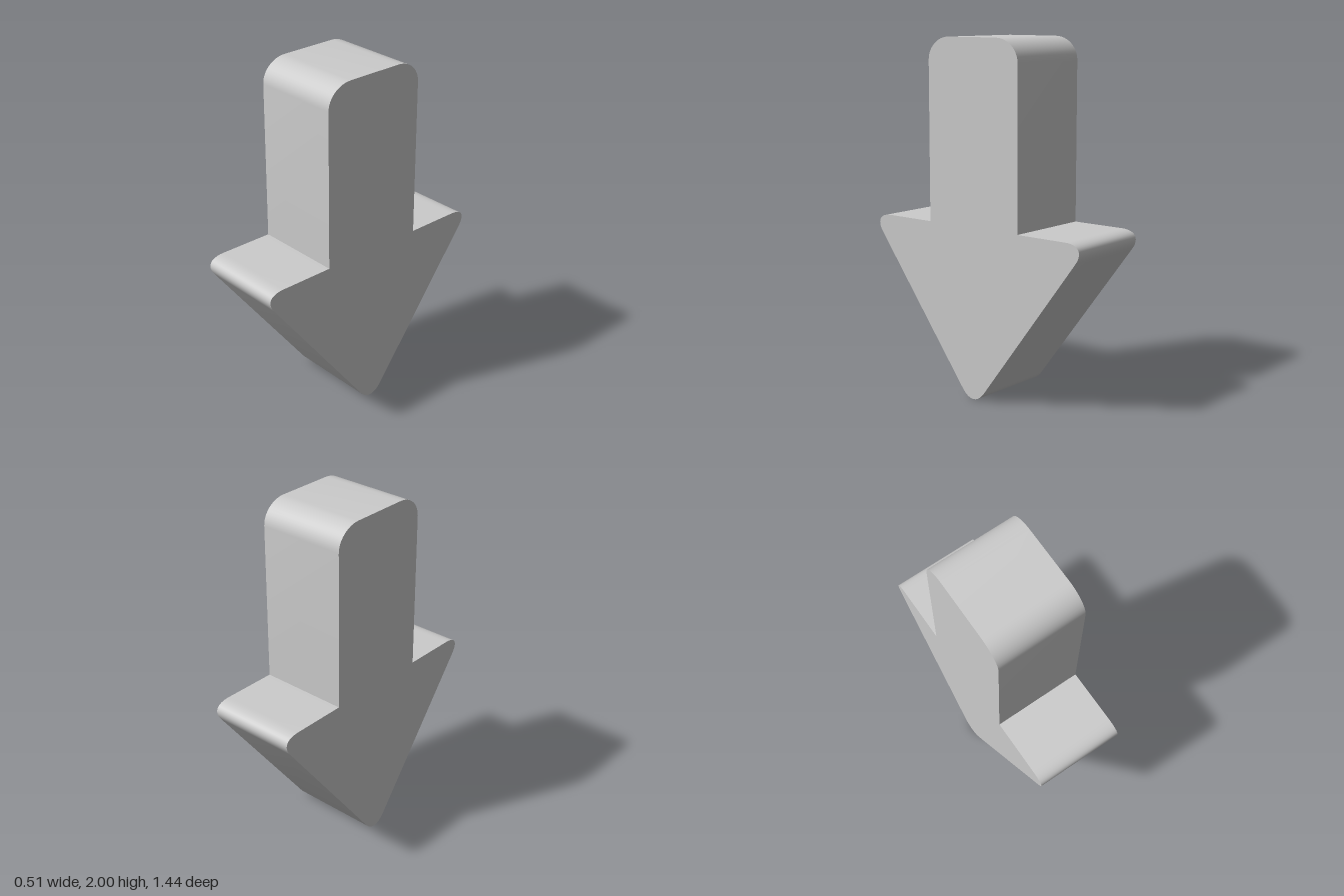
import * as THREE from 'three';
import { toCreasedNormals } from 'three/addons/utils/BufferGeometryUtils.js';

const WIDTH = 0.515;

// Half of the arrow outline, from the tip up to the top of the shaft
function halfOutline() {
  const path = new THREE.Path();
  path.moveTo(0, 0);
  path.bezierCurveTo(0.03, 0, 0.055, 0.017, 0.08, 0.05); // rounded tip
  path.lineTo(0.695, 0.865); // sloping side of the head
  path.bezierCurveTo(0.745, 0.93, 0.715, 0.973, 0.63, 0.973); // rounded barb
  path.lineTo(0.315, 0.973); // shoulder
  path.lineTo(0.315, 1.87); // shaft
  path.bezierCurveTo(0.315, 1.94, 0.25, 2, 0.165, 2); // rounded shaft corner
  return path.getPoints(12);
}

export function createModel() {
  const model = new THREE.Group();
  model.name = 'downArrow';

  // Mirror the half outline into a closed shape
  const half = halfOutline();
  const mirrored = half.slice(1).reverse().map((p) => new THREE.Vector2(-p.x, p.y));
  const shape = new THREE.Shape([...half, ...mirrored]);

  // Extrude across the width and turn the flat faces towards the sides
  let geometry = new THREE.ExtrudeGeometry(shape, { depth: WIDTH, bevelEnabled: false });
  geometry.translate(0, 0, -WIDTH / 2);
  geometry.rotateY(Math.PI / 2);
  geometry = toCreasedNormals(geometry, 0.6);

  const arrow = new THREE.Mesh(geometry, new THREE.MeshStandardMaterial({ color: 0xcccccc }));
  arrow.name = 'arrowBody';
  model.add(arrow);
  return model;
}
